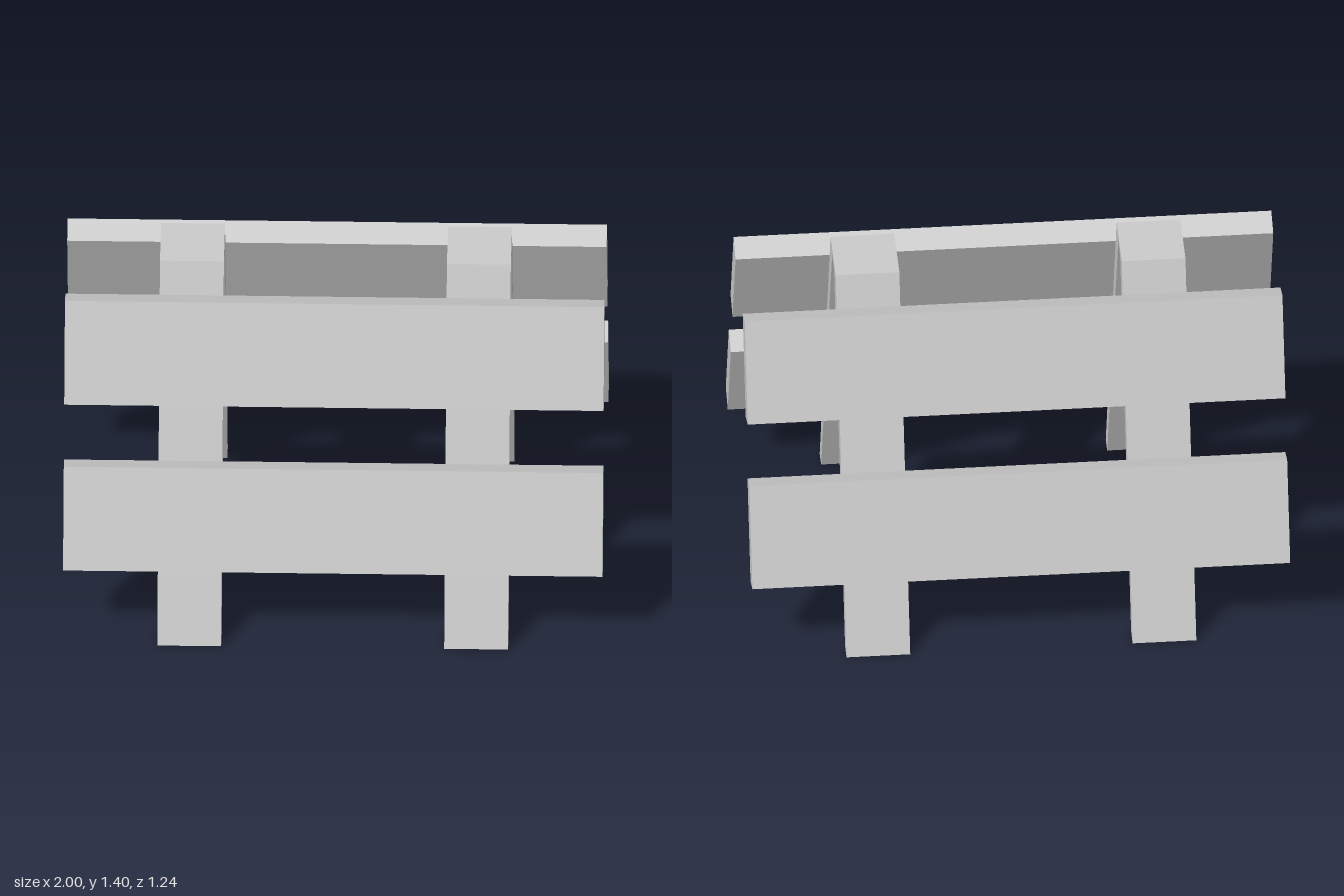
import * as THREE from 'three';

// Extrude a (z, y) outline along x, centred on the given x
function extrudeAlongX(points, width, x, name, material) {
  // shape x runs along -z, so the rotated extrusion runs along +x
  const shape = new THREE.Shape(points.map(([z, y]) => new THREE.Vector2(-z, y)));
  const geometry = new THREE.ExtrudeGeometry(shape, { depth: width, bevelEnabled: false });
  geometry.translate(0, 0, -width / 2);
  geometry.rotateY(Math.PI / 2);
  const mesh = new THREE.Mesh(geometry, material);
  mesh.position.x = x;
  mesh.name = name;
  return mesh;
}

export function createModel() {
  const model = new THREE.Group();
  model.name = 'barricade';
  const material = new THREE.MeshStandardMaterial({ color: 0xcccccc, flatShading: true });

  // A-frames: half outline from outer top to inner top, mirrored in z
  const half = [[0.118, 1.4], [0.622, 0], [0.56, 0], [0.549, 0.006], [0.043, 1.374]];
  const outline = [...half, ...half.map(([z, y]) => [-z, y]).reverse()];
  for (const side of [-1, 1]) {
    const name = side > 0 ? 'leftFrame' : 'rightFrame';
    model.add(extrudeAlongX(outline, 0.237, side * 0.532, name, material));
  }

  // Boards: two on each sloping face, just clear of the legs
  const boards = { upper: [0.282, 1.108], lower: [0.502, 0.507] };
  const tilt = Math.atan2(0.14, 0.376);
  for (const side of [-1, 1]) {
    for (const [level, [z, y]] of Object.entries(boards)) {
      const board = new THREE.Mesh(new THREE.BoxGeometry(2, 0.4, 0.099), material);
      board.position.set(0, y, side * z);
      board.rotation.x = -side * tilt;
      board.name = level + (side > 0 ? 'FrontBoard' : 'BackBoard');
      model.add(board);
    }
  }
  return model;
}
